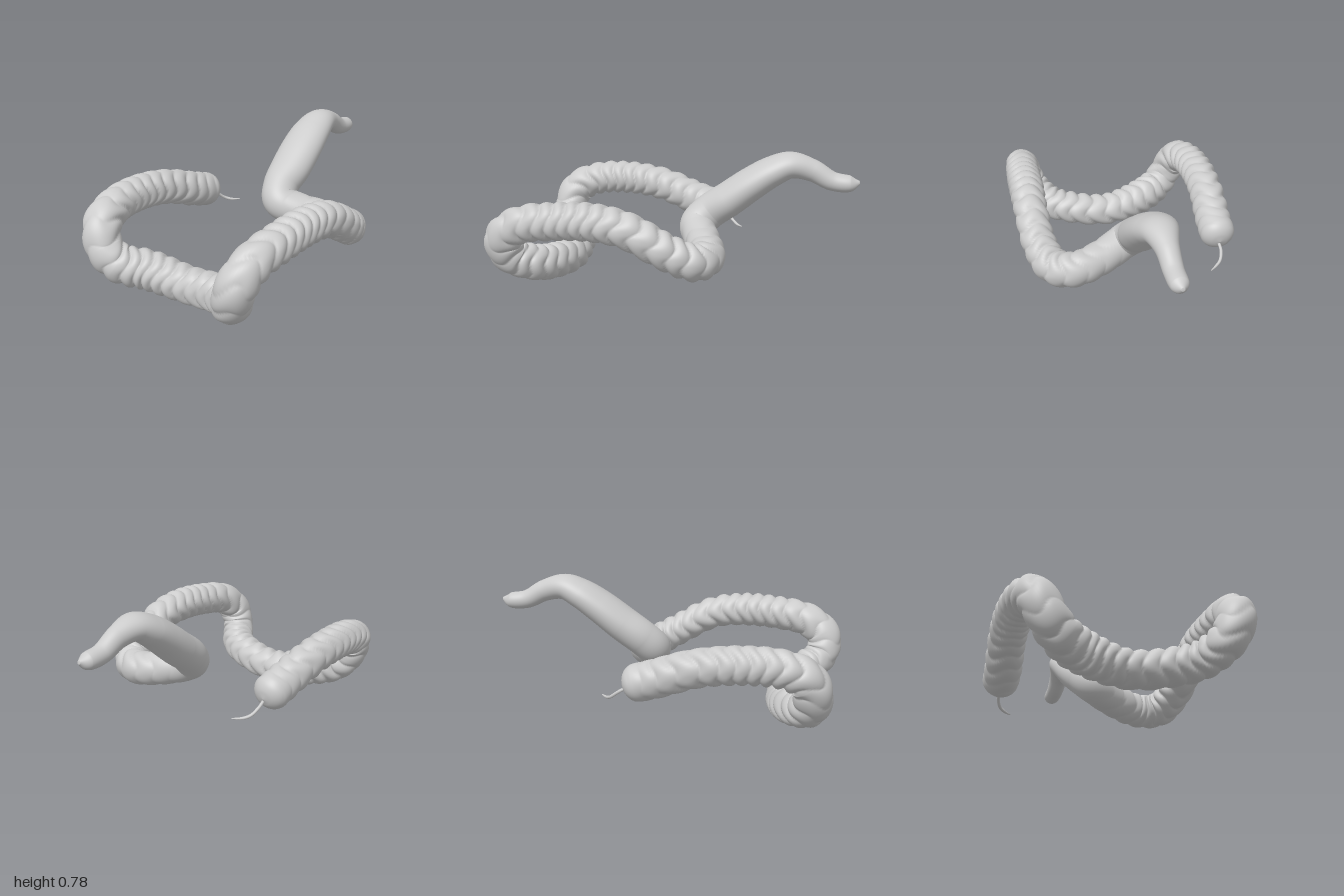
import * as THREE from 'three';

const material = new THREE.MeshStandardMaterial({ color: 0xcccccc, roughness: 0.8 });
const { smoothstep } = THREE.MathUtils;

// Sweeps a ring along stations [x, y, z, radius, xStretch]; pouchDepth(u) sets the wall folds.
function sweep(name, stations, rings, sides, domeLength, pouchDepth) {
  const path = new THREE.CatmullRomCurve3(
    stations.map(([x, y, z]) => new THREE.Vector3(x, y, z)), false, 'centripetal');
  const profile = new THREE.CatmullRomCurve3(
    stations.map(([, , , radius = 0.098, stretch = 1]) => new THREE.Vector3(radius, stretch, 0)),
    false, 'catmullrom', 0.5);
  const positions = [], indices = [];
  const normal = new THREE.Vector3(0, 1, 0), binormal = new THREE.Vector3();
  const previous = path.getPoint(0), offset = new THREE.Vector3();
  let length = 0;

  for (let i = 0; i <= rings; i++) {
    const u = i / rings;
    const centre = path.getPoint(u), tangent = path.getTangent(u), size = profile.getPoint(u);
    length += centre.distanceTo(previous);
    previous.copy(centre);
    // Carry the frame along without twist
    normal.addScaledVector(tangent, -normal.dot(tangent)).normalize();
    binormal.crossVectors(tangent, normal);
    // Domed blind end
    const dome = Math.max(0, 1 - length / domeLength);
    const base = size.x * Math.sqrt(1 - dome * dome);
    for (let j = 0; j < sides; j++) {
      const a = (j / sides) * Math.PI * 2;
      // Creased pouches of uneven length, staggered between three flatter bands
      const phase = length / 0.083 + 0.3 * Math.sin(length * 9)
        + 0.3 * Math.sin(a + length * 4) + 0.22 * Math.sin(3 * a + 1);
      const swell = Math.pow(Math.abs(Math.sin(Math.PI * phase)), 0.7) - 0.65;
      const band = 0.35 + 0.65 * Math.abs(Math.sin(1.5 * a + 0.4));
      const r = base * (1 + pouchDepth(u) * swell * band);
      offset.set(0, 0, 0).addScaledVector(normal, r * Math.cos(a))
        .addScaledVector(binormal, r * Math.sin(a));
      positions.push(centre.x + offset.x * size.y, centre.y + offset.y, centre.z + offset.z);
    }
  }
  for (let i = 0; i < rings; i++) {
    for (let j = 0; j < sides; j++) {
      const a = i * sides + j, b = i * sides + (j + 1) % sides;
      indices.push(a, b, a + sides, b, b + sides, a + sides);
    }
  }
  // Close the far end
  const tip = positions.length / 3;
  positions.push(...path.getPoint(1).toArray());
  for (let j = 0; j < sides; j++) {
    indices.push(rings * sides + j, rings * sides + (j + 1) % sides, tip);
  }
  const geometry = new THREE.BufferGeometry();
  geometry.setAttribute('position', new THREE.Float32BufferAttribute(positions, 3));
  geometry.setIndex(indices);
  geometry.computeVertexNormals();
  const mesh = new THREE.Mesh(geometry, material);
  mesh.name = name;
  return mesh;
}

export function createModel() {
  const group = new THREE.Group();
  group.name = 'largeIntestine';

  // Limbs of nearly even thickness, from the blind end round to the sigmoid loop
  const ascending = [
    [-0.50, 0.28, -0.17, 0.102], [-0.51, 0.33, 0, 0.102], [-0.535, 0.405, 0.22],
    [-0.545, 0.435, 0.45], [-0.53, 0.42, 0.66], [-0.50, 0.36, 0.785, 0.102],
  ];
  const transverse = [
    [-0.455, 0.25, 0.82, 0.102], [-0.38, 0.17, 0.79, 0.105], [-0.24, 0.135, 0.71, 0.107],
    [0, 0.1, 0.665], [0.23, 0.13, 0.695], [0.36, 0.16, 0.76], [0.45, 0.23, 0.875],
  ];
  const descending = [
    [0.495, 0.34, 0.89, 0.102], [0.52, 0.43, 0.79], [0.537, 0.468, 0.6],
    [0.545, 0.48, 0.38], [0.55, 0.45, 0.19, 0.094], [0.535, 0.335, -0.03, 0.094],
  ];
  const sigmoid = [[0.48, 0.27, -0.16], [0.37, 0.265, -0.21], [0.2, 0.29, -0.16]];
  // Smooth, wide rectum with a narrow outlet
  const rectum = [
    [0.055, 0.345, -0.11, 0.102, 1], [0.015, 0.41, -0.17, 0.102, 1.04],
    [0.01, 0.49, -0.28, 0.1, 1.25], [0.005, 0.585, -0.405, 0.094, 1.37],
    [0, 0.66, -0.52, 0.085, 1.4], [0, 0.7, -0.62, 0.074, 1.3],
    [0, 0.675, -0.74, 0.062, 1], [0, 0.62, -0.85, 0.053, 1],
    [0, 0.61, -0.95, 0.045, 1.05], [0, 0.618, -1, 0.01, 1],
  ];
  // Pouches fade at the blind end, at the two sharp bends and along the sigmoid loop
  const atBend = (u, centre) => Math.exp(-(((u - centre) / 0.035) ** 2));
  const haustra = (u) => 0.23 * smoothstep(u, 0, 0.06) * (1 - smoothstep(u, 0.58, 0.73))
    * (1 - 0.6 * atBend(u, 0.19) - 0.6 * atBend(u, 0.41));
  group.add(sweep('colon',
    [...ascending, ...transverse, ...descending, ...sigmoid, ...rectum], 900, 48, 0.08, haustra));

  // Thin worm-like appendage at the blind end
  group.add(sweep('appendix', [
    [-0.495, 0.27, -0.15, 0.009], [-0.495, 0.24, -0.2, 0.009], [-0.475, 0.205, -0.245, 0.009],
    [-0.44, 0.19, -0.275, 0.008], [-0.40, 0.19, -0.31, 0.003],
  ], 40, 10, 0.005, () => 0));
  return group;
}
